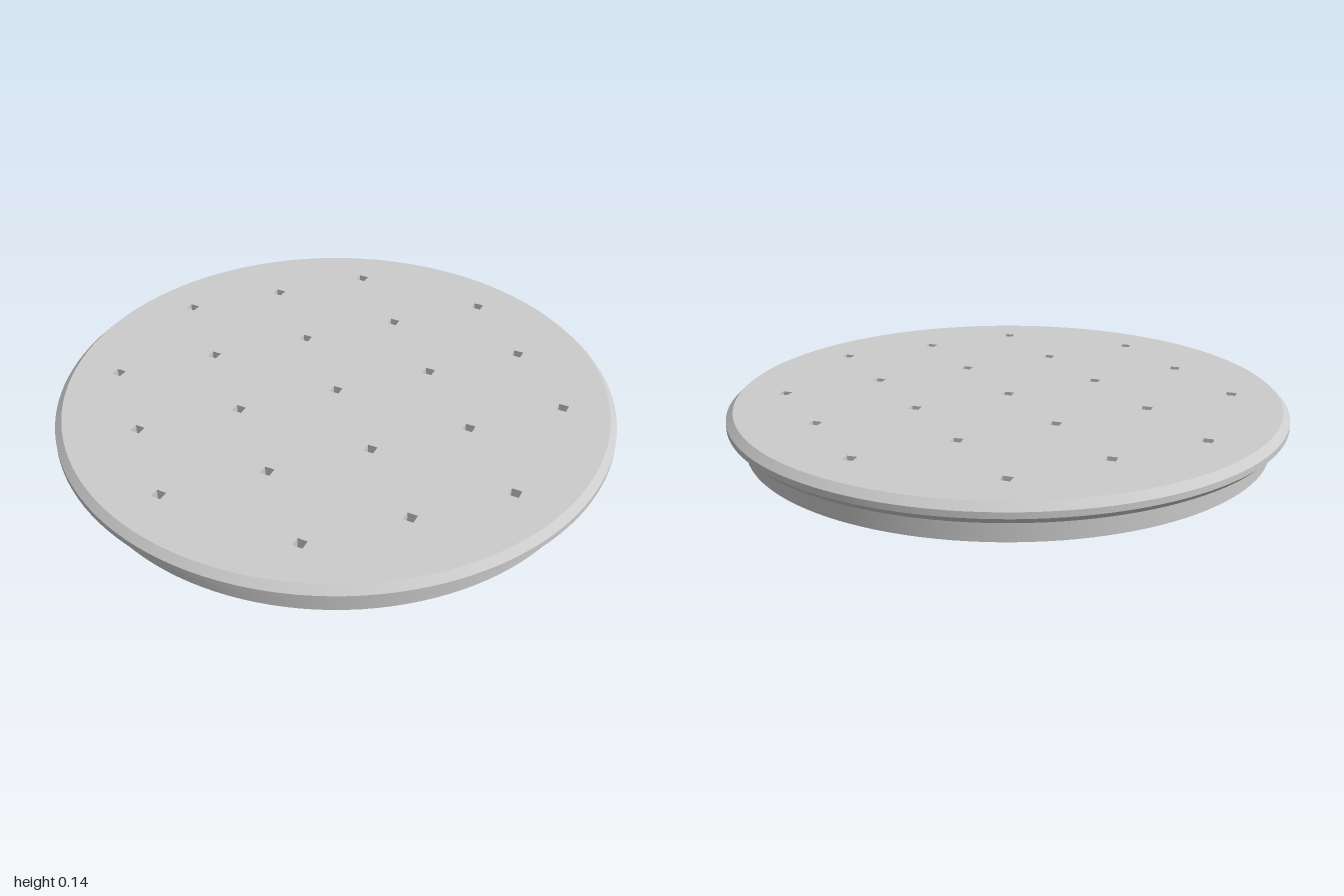
import * as THREE from 'three';
import { mergeGeometries } from 'three/addons/utils/BufferGeometryUtils.js';

const SEGMENTS = 128;
const TOP = 0.145, CEILING = 0.097;
const TOP_RADIUS = 0.975, CEILING_RADIUS = 0.85;
const HOLE_RADIUS = 0.025, HOLE_SPACING = 0.362;

// 5 x 5 grid of holes without its corners
function holeCentres() {
  const centres = [];
  for (let i = -2; i <= 2; i++) {
    for (let j = -2; j <= 2; j++) {
      if (Math.abs(i) + Math.abs(j) < 4) centres.push([i * HOLE_SPACING, j * HOLE_SPACING]);
    }
  }
  return centres;
}

// Flat round face pierced by the diamond holes
function piercedDisc(radius, centres) {
  const shape = new THREE.Shape().absarc(0, 0, radius, 0, Math.PI * 2, false);
  for (const [x, y] of centres) {
    const r = HOLE_RADIUS;
    shape.holes.push(new THREE.Path([[r, 0], [0, -r], [-r, 0], [0, r]]
      .map(([dx, dy]) => new THREE.Vector2(x + dx, y + dy))));
  }
  return new THREE.ShapeGeometry(shape, SEGMENTS);
}

// One lathe band per profile edge: smooth around, sharp between bands
function bandedLathe(profile) {
  const points = profile.map(([r, y]) => new THREE.Vector2(r, y));
  return mergeGeometries(points.slice(1).map((p, i) => new THREE.LatheGeometry([points[i], p], SEGMENTS)));
}

export function createModel() {
  const group = new THREE.Group();
  group.name = 'drainCover';
  const material = new THREE.MeshStandardMaterial({ color: 0xcccccc });
  const holeMaterial = new THREE.MeshStandardMaterial({ color: 0xcccccc, flatShading: true, side: THREE.DoubleSide });

  const add = (name, geometry, mat = material) => {
    const mesh = new THREE.Mesh(geometry, mat);
    mesh.name = name;
    group.add(mesh);
  };

  // Tapered inner wall and straight outer wall meeting in a thin bottom edge
  add('skirt', bandedLathe([[CEILING_RADIUS, CEILING], [0.94, 0], [0.94, 0.077]]));

  // Overhanging rim, chamfered above and below
  add('rim', bandedLathe([[0.94, 0.077], [0.976, 0.077], [1, 0.1], [1, 0.121], [TOP_RADIUS, TOP]]));

  // Upper and lower faces of the plate
  const centres = holeCentres();
  add('plateTop', piercedDisc(TOP_RADIUS, centres).rotateX(-Math.PI / 2).translate(0, TOP, 0));
  add('plateUnderside', piercedDisc(CEILING_RADIUS, centres).rotateX(Math.PI / 2).translate(0, CEILING, 0));

  // Four-sided walls lining each hole
  add('holeWalls', mergeGeometries(centres.map(([x, z]) =>
    new THREE.CylinderGeometry(HOLE_RADIUS, HOLE_RADIUS, TOP - CEILING, 4, 1, true)
      .translate(x, (TOP + CEILING) / 2, z))), holeMaterial);

  return group;
}
